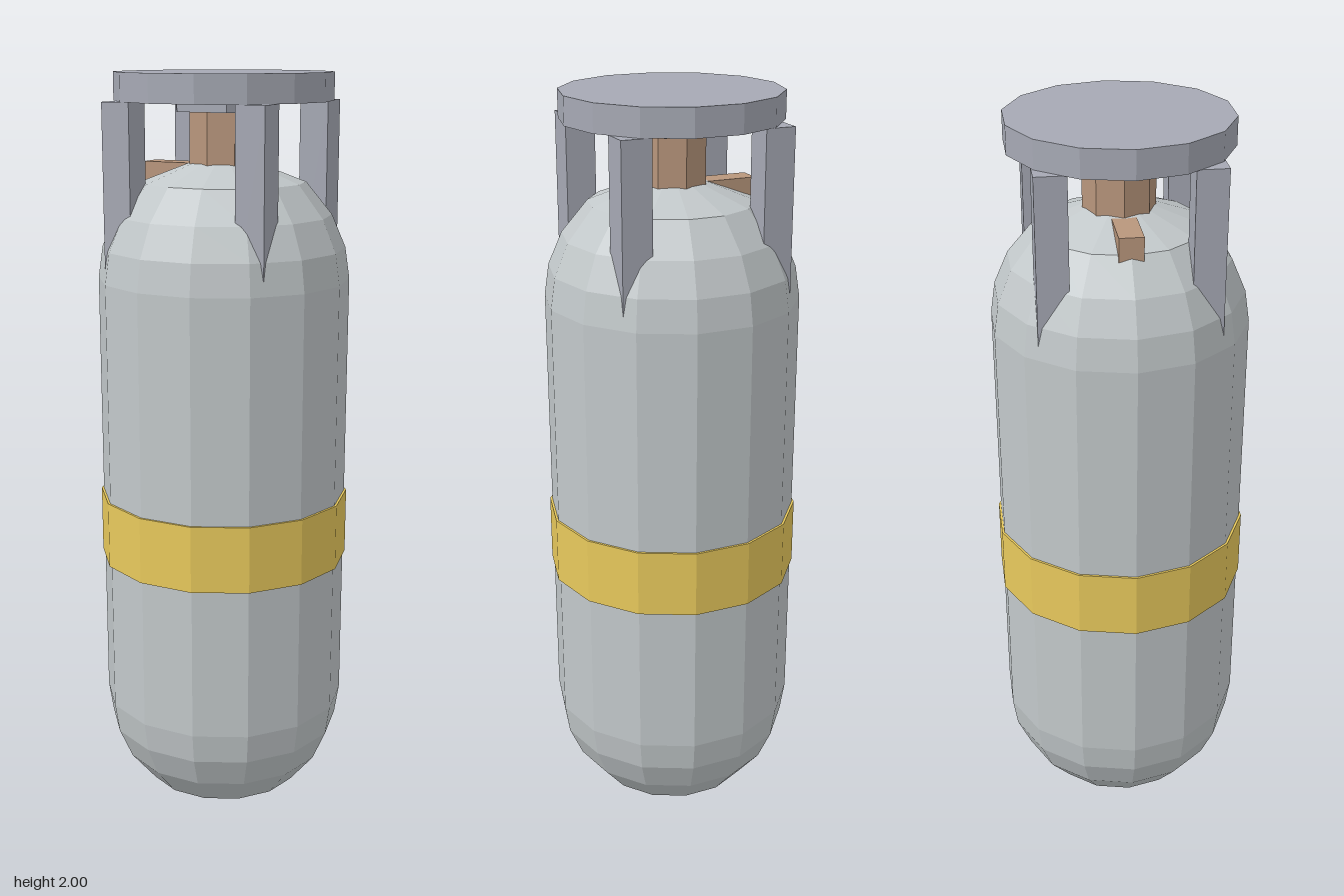
import * as THREE from 'three';

const SIDES = 14;

function material(color) {
  return new THREE.MeshStandardMaterial({ color, flatShading: true });
}

export function createModel() {
  const model = new THREE.Group();
  const shell = material(0xc2c8ca);
  const frame = material(0xa6a9b4);
  const yellow = material(0xe8c95c);
  const brass = material(0xb8967c);

  function add(name, geometry, mat, x = 0, y = 0, z = 0) {
    const mesh = new THREE.Mesh(geometry, mat);
    mesh.name = name;
    mesh.position.set(x, y, z);
    model.add(mesh);
    return mesh;
  }

  // Upright prism with a corner on the x axis
  function prism(name, radius, bottom, top, sides, mat) {
    const geometry = new THREE.CylinderGeometry(radius, radius, top - bottom, sides, 1, false, Math.PI / 2);
    return add(name, geometry, mat, 0, (bottom + top) / 2, 0);
  }

  // Tank: the lower dome is mirrored to form the upper one
  const dome = [[0, 0.005], [0.21, 0.085], [0.277, 0.167], [0.313, 0.25], [0.325, 0.33]];
  const height = 1.815;
  const profile = [
    ...dome,
    ...dome.map(([r, y]) => [r, height - y]).reverse(),
  ].map(([r, y]) => new THREE.Vector2(r, y));
  add('tank', new THREE.LatheGeometry(profile, SIDES, Math.PI / 2), shell);

  // Painted band around the tank
  prism('band', 0.331, 0.735, 0.91, SIDES, yellow);

  // Valve: neck, side outlet and hexagonal hand wheel
  prism('valveNeck', 0.09, 1.72, 1.91, 8, brass);
  add('valveOutlet', new THREE.BoxGeometry(0.215, 0.06, 0.06), brass, -0.1075, 1.745, 0);
  prism('handWheel', 0.137, 1.905, 1.931, 6, frame);

  // Guard: four posts carrying a cap
  for (const x of [-1, 1]) {
    for (const z of [-1, 1]) {
      add('guardPost', new THREE.BoxGeometry(0.077, 0.46, 0.077), frame, x * 0.1835, 1.7, z * 0.1835);
    }
  }
  prism('guardCap', 0.277, 1.93, 2, SIDES, frame);

  return model;
}
